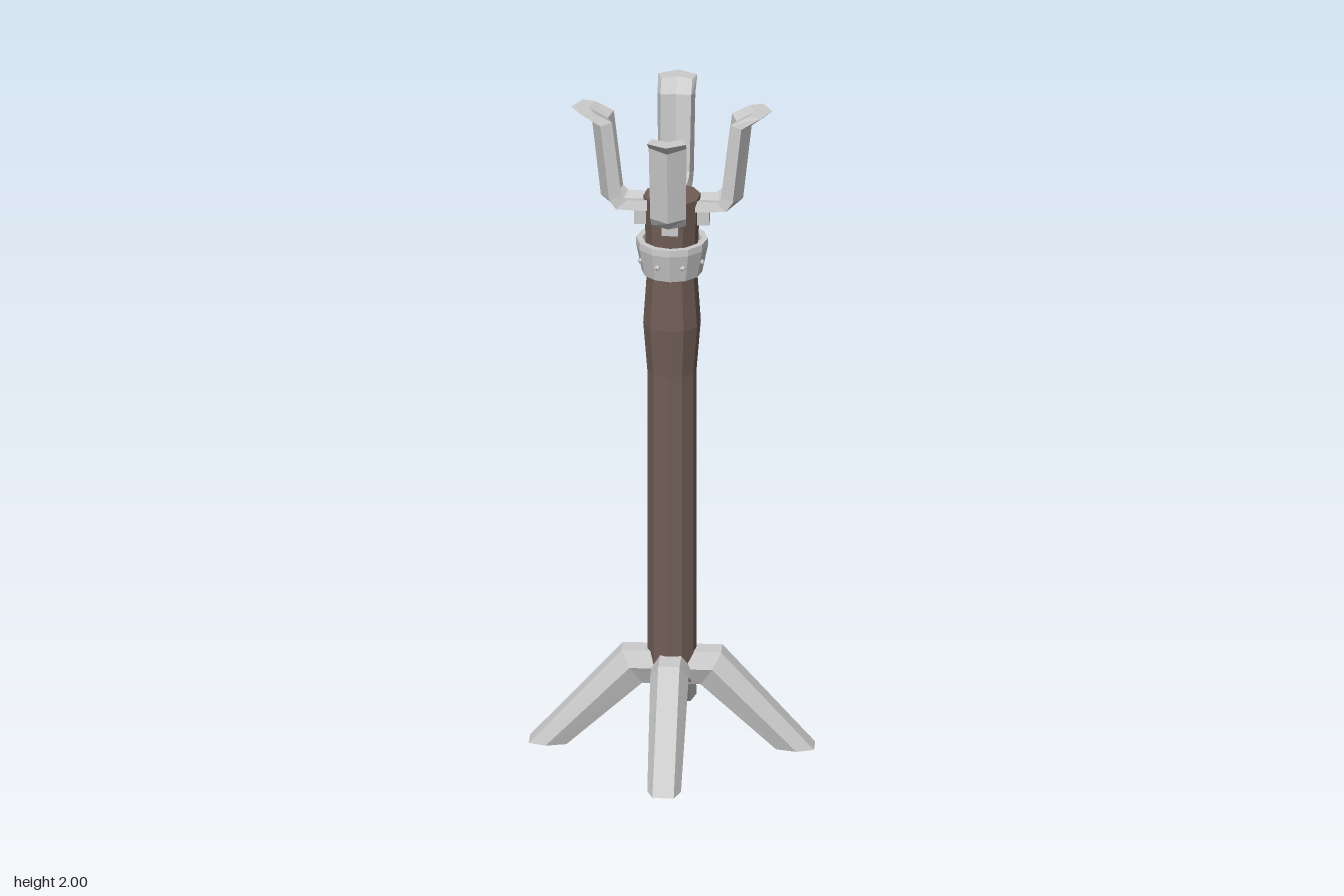
import * as THREE from 'three';

const metal = new THREE.MeshStandardMaterial({ color: 0xcccccc, flatShading: true });
const wood = new THREE.MeshStandardMaterial({ color: 0x715e56, flatShading: true });

// Skin a list of closed cross-sections (points [radius, height, sideways]) and cap both ends
function loft(sections) {
  const n = sections[0].length;
  const index = [];
  for (let s = 0; s < sections.length - 1; s++) {
    for (let i = 0; i < n; i++) {
      const j = (i + 1) % n, a = s * n, b = a + n;
      index.push(b + j, b + i, a + i, b + j, a + i, a + j);
    }
  }
  const last = (sections.length - 1) * n;
  for (let k = 1; k < n - 1; k++) {
    index.push(0, k + 1, k, last, last + k, last + k + 1);
  }
  const geo = new THREE.BufferGeometry();
  geo.setAttribute('position', new THREE.Float32BufferAttribute(sections.flat(2), 3));
  geo.setIndex(index);
  const flat = geo.toNonIndexed();
  flat.computeVertexNormals();
  return flat;
}

// Faceted turned part from [radius, height] pairs
function turned(points, sides, turn) {
  const geo = new THREE.LatheGeometry(points.map(([r, y]) => new THREE.Vector2(r, y)), sides);
  return geo.rotateY(turn);
}

function add(parent, name, geometry, material) {
  const mesh = new THREE.Mesh(geometry, material);
  mesh.name = name;
  parent.add(mesh);
  return mesh;
}

// Leg section: flat top, wide middle, flat underside
function legSection([topR, topY], [midR, midY], [botR, botY], wide) {
  const t = 0.031, b = 0.034;
  return [[topR, topY, -t], [topR, topY, t], [midR, midY, wide],
    [botR, botY, b], [botR, botY, -b], [midR, midY, -wide]];
}

// Prong section: ridged outside, shallow channel inside
function prongSection([ridge, side, rim, channel], wide, rimWide) {
  return [[...ridge, 0], [...side, wide], [...rim, rimWide],
    [...channel, 0], [...rim, -rimWide], [...side, -wide]];
}

export function createModel() {
  const model = new THREE.Group();
  model.name = 'stand';

  // Wooden pole with a swelling below the collar
  add(model, 'pole', turned([[0, 0.21], [0.072, 0.21], [0.072, 1.18], [0.084, 1.33],
    [0.074, 1.48], [0.077, 1.6], [0.084, 1.73], [0, 1.73]], 10, Math.PI / 2), wood);

  // Flared metal collar, open in the middle
  add(model, 'collar', turned([[0.07, 1.49], [0.088, 1.49], [0.105, 1.575], [0.104, 1.595],
    [0.086, 1.595], [0.07, 1.49]], 12, Math.PI / 12), metal);

  // Studs around the collar
  for (let i = 0; i < 8; i++) {
    const a = (i + 0.5) * Math.PI / 4;
    const stud = add(model, 'collarStud', new THREE.IcosahedronGeometry(0.009, 0), metal);
    stud.position.set(Math.sin(a) * 0.096, 1.535, Math.cos(a) * 0.096);
  }

  const legGeo = loft([
    legSection([0, 0.3], [0, 0.255], [0, 0.2], 0.058),
    legSection([0.145, 0.3], [0.12, 0.255], [0.085, 0.2], 0.056),
    legSection([0.415, 0], [0.365, 0], [0.305, 0], 0.049),
  ]);

  const prongGeo = loft([
    prongSection([[0.293, 2], [0.262, 2], [0.225, 2], [0.243, 2]], 0.057, 0.045),
    prongSection([[0.232, 1.955], [0.205, 1.963], [0.172, 1.972], [0.187, 1.967]], 0.055, 0.045),
    prongSection([[0.207, 1.725], [0.18, 1.73], [0.145, 1.74], [0.16, 1.735]], 0.052, 0.042),
    prongSection([[0.165, 1.69], [0.16, 1.7], [0.13, 1.725], [0.14, 1.715]], 0.05, 0.04),
    prongSection([[0.07, 1.69], [0.07, 1.695], [0.07, 1.725], [0.07, 1.715]], 0.046, 0.036),
  ]);

  // Small block tying each prong to the pole
  const blockGeo = new THREE.BoxGeometry(0.035, 0.05, 0.048).translate(0.092, 1.67, 0);

  // Four legs and four prongs on the diagonals
  for (let i = 0; i < 4; i++) {
    const turn = (i + 0.5) * Math.PI / 2;
    add(model, 'leg', legGeo, metal).rotation.y = turn;
    add(model, 'prong', prongGeo, metal).rotation.y = turn;
    add(model, 'prongBlock', blockGeo, metal).rotation.y = turn;
  }
  return model;
}
